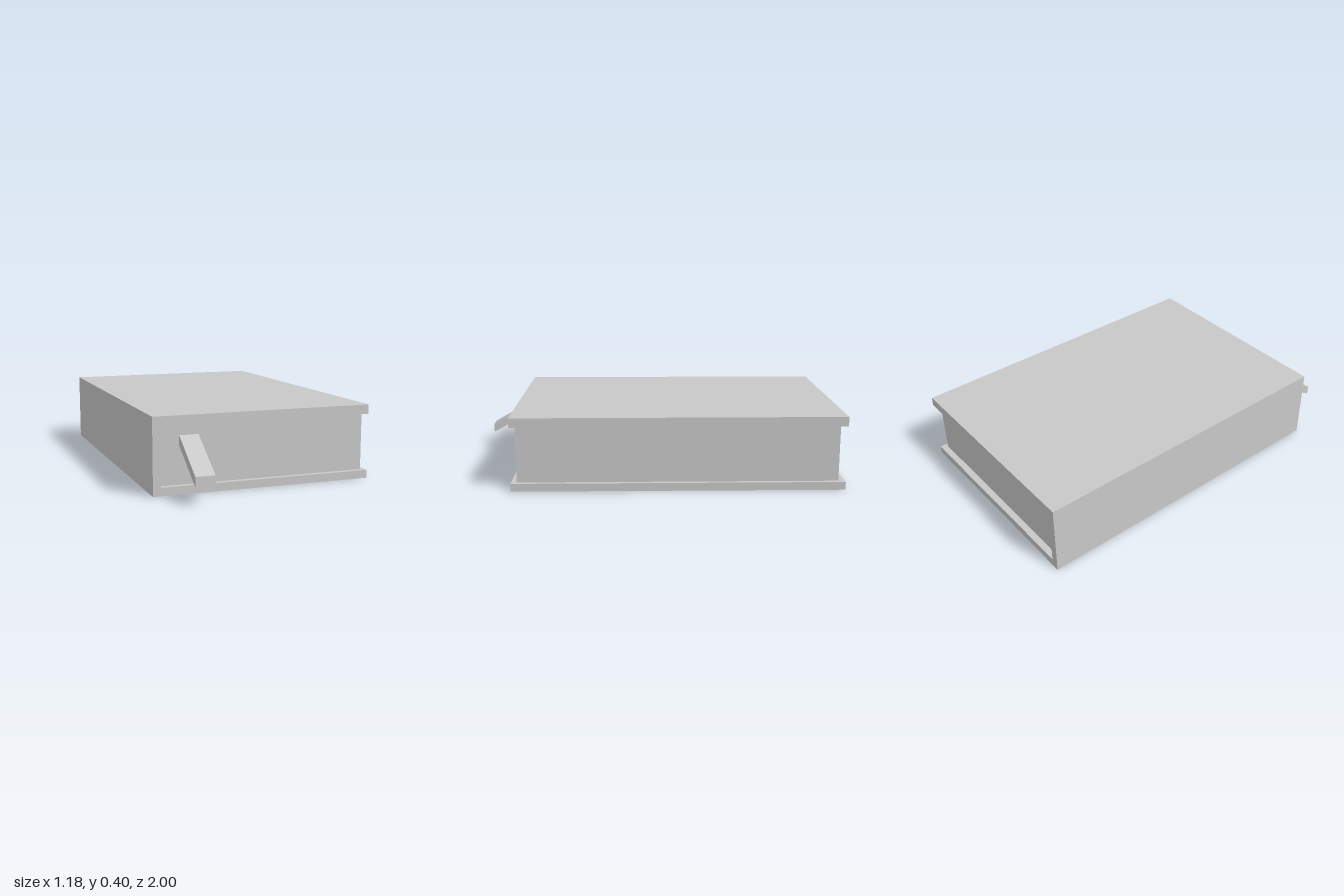
import * as THREE from 'three';

const HALF_W = 0.59, HEIGHT = 0.395, BACK = -1, FRONT = 0.765;

export function createModel() {
  const model = new THREE.Group();
  model.name = 'book';
  const grey = new THREE.MeshStandardMaterial({ color: 0xc8c8c8 });
  grey.name = 'plain grey';

  const add = (name, geometry) => {
    const mesh = new THREE.Mesh(geometry, grey);
    mesh.name = name;
    model.add(mesh);
    return mesh;
  };

  // Hard cover: both boards and the spine as one U-shaped section
  const section = new THREE.Shape([
    [-HALF_W, 0], [HALF_W, 0], [HALF_W, 0.043], [-0.55, 0.043],
    [-0.55, 0.345], [HALF_W, 0.345], [HALF_W, HEIGHT], [-HALF_W, HEIGHT],
  ].map(([x, y]) => new THREE.Vector2(x, y)));
  const cover = new THREE.ExtrudeGeometry(section, { depth: FRONT - BACK, bevelEnabled: false });
  add('cover', cover.translate(0, 0, BACK));

  // Page block, set in from the three open edges
  const pages = new THREE.BoxGeometry(1.117, 0.302, 1.7);
  add('pages', pages.translate(0.0085, 0.194, -0.115));

  // Bookmark: a box sheared down and slightly sideways as it leaves the pages
  const bookmark = new THREE.BoxGeometry(0.1, 0.052, 0.267).toNonIndexed();
  bookmark.applyMatrix4(new THREE.Matrix4().set(
    1, 0, -0.03, -0.399,
    0, 1, -0.565, 0.191,
    0, 0, 1, 0.8665,
    0, 0, 0, 1,
  ));
  bookmark.computeVertexNormals();
  add('bookmark', bookmark);

  return model;
}
